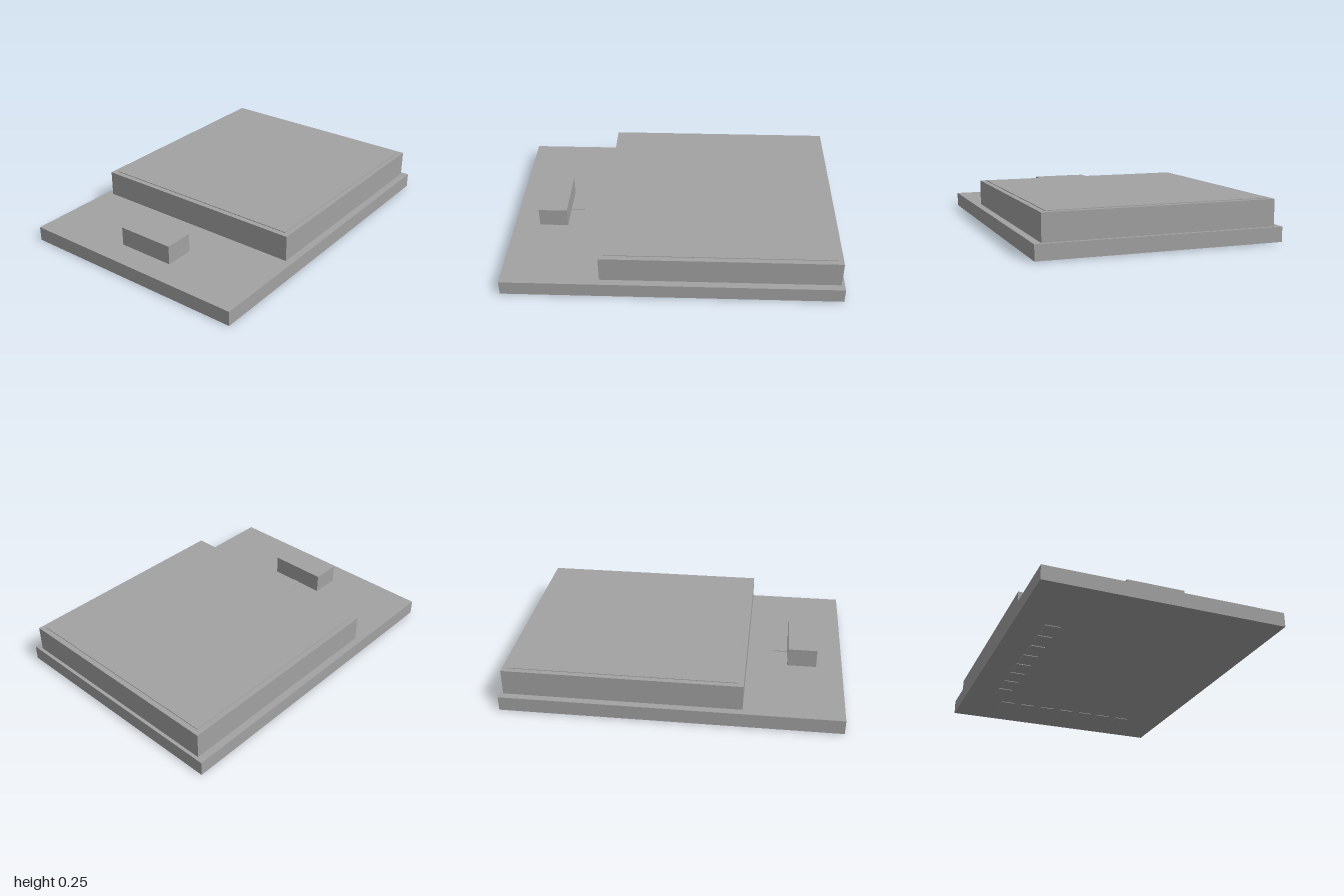
import * as THREE from 'three';

export function createModel() {
  const model = new THREE.Group();
  model.name = 'circuitModule';
  const grey = new THREE.MeshStandardMaterial({ color: 0xa2a2a2 });
  grey.name = 'plain grey';

  // Box given by its limits on each axis
  function block(name, [x0, x1], [y0, y1], [z0, z1], parent = model) {
    const mesh = new THREE.Mesh(new THREE.BoxGeometry(x1 - x0, y1 - y0, z1 - z0), grey);
    mesh.position.set((x0 + x1) / 2, (y0 + y1) / 2, (z0 + z1) / 2);
    mesh.name = name;
    parent.add(mesh);
  }

  block('board', [-0.72, 0.72], [0.004, 0.092], [-1, 1]);
  block('shieldCan', [-0.677, 0.677], [0.092, 0.248], [-0.98, 0.42]);
  block('shieldLid', [-0.645, 0.645], [0.248, 0.252], [-0.948, 0.388]);

  // Antenna chip and its small feed trace
  block('antennaChip', [-0.177, 0.177], [0.092, 0.206], [0.667, 0.843]);
  block('feedTrace', [-0.02, 0.02], [0.092, 0.096], [0.58, 0.667]);

  // Solder pads on the underside: one row at the back, one column along the side
  const pads = new THREE.Group();
  pads.name = 'solderPads';
  model.add(pads);
  const half = 0.045, pitch = 0.14;
  const pad = (x, z) =>
    block('solderPad', [x - half, x + half], [0, 0.004], [z - half, z + half], pads);
  for (let i = -3; i <= 3; i++) pad(i * pitch, -0.71);
  for (let i = 0; i < 8; i++) pad(-0.5, (i - 3.5) * pitch);

  return model;
}
